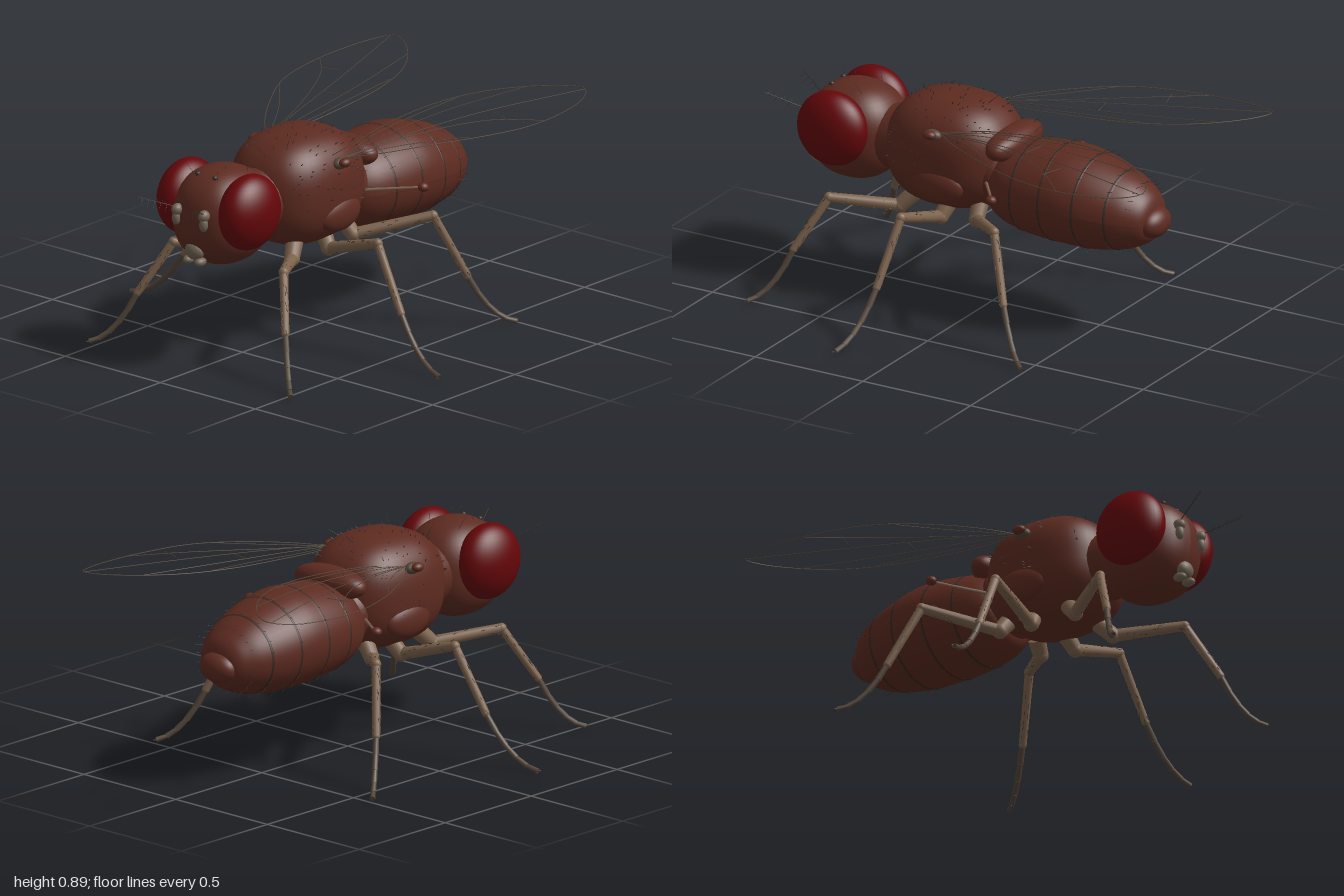
import * as THREE from 'three';
import { mergeGeometries } from 'three/addons/utils/BufferGeometryUtils.js';

const V = (x, y, z) => new THREE.Vector3(x, y, z);
const UP = V(0, 1, 0);

export function createModel() {
  const fly = new THREE.Group();
  fly.name = 'fly';
  const mat = (name, color) => {
    const m = new THREE.MeshStandardMaterial({ color });
    m.name = name;
    return m;
  };
  const body = mat('brown cuticle', 0x5d2b20);
  const bandBrown = mat('band brown', 0x3a2720);
  const eyeRed = mat('eye red', 0x650609);
  const tan = mat('leg tan', 0x7d634d);
  const tarsusBrown = mat('tarsus brown', 0x54463a);
  const dark = mat('bristle dark', 0x342f29);
  const veinBrown = mat('vein brown', 0x55493c);
  const grey = mat('mouthpart grey', 0x706353);

  const add = (name, geo, material, parent = fly) => {
    const m = new THREE.Mesh(geo, material);
    m.name = name;
    parent.add(m);
    return m;
  };

  // Ellipsoid whose sides are squared off when e < 1
  const squash = (v, e) => Math.sign(v) * Math.pow(Math.abs(v), e);
  const blob = (c, r, e = 1, n = 40) => {
    const g = new THREE.SphereGeometry(1, n, Math.round(n * 0.6));
    const p = g.attributes.position;
    for (let i = 0; i < p.count; i++) {
      p.setXYZ(i, c[0] + r[0] * squash(p.getX(i), e), c[1] + r[1] * squash(p.getY(i), e), c[2] + r[2] * squash(p.getZ(i), e));
    }
    if (e === 1) {
      const q = g.attributes.normal;
      for (let i = 0; i < q.count; i++) {
        const v = V(q.getX(i) / r[0], q.getY(i) / r[1], q.getZ(i) / r[2]).normalize();
        q.setXYZ(i, v.x, v.y, v.z);
      }
    } else g.computeVertexNormals();
    return g;
  };

  // Tapered rod between two points
  const rod = (a, b, ra, rb, sides = 14) => {
    const d = b.clone().sub(a);
    const g = new THREE.CylinderGeometry(rb, ra, d.length(), sides);
    g.applyQuaternion(new THREE.Quaternion().setFromUnitVectors(UP, d.normalize()));
    return g.translate((a.x + b.x) / 2, (a.y + b.y) / 2, (a.z + b.z) / 2);
  };
  const hair = (a, dir, len, r = 0.0013) => rod(a, a.clone().addScaledVector(dir, len), r, r * 0.3, 4);

  let seed = 7;
  const rnd = () => (seed = (seed * 16807) % 2147483647) / 2147483647;

  // Head, thorax and scutellum
  add('head', blob([-0.622, 0.62, 0], [0.2, 0.2, 0.183], 0.87), body);
  add('neck', rod(V(-0.48, 0.62, 0), V(-0.38, 0.62, 0), 0.13, 0.14, 24), body);
  add('thorax', blob([-0.169, 0.632, 0], [0.276, 0.233, 0.228], 0.8, 48), body);
  add('scutellum', blob([0.1, 0.712, 0], [0.072, 0.062, 0.18], 0.9), body);
  add('waist', blob([0.06, 0.58, 0], [0.11, 0.14, 0.16]), body);

  // Abdomen turned about the long axis, drooping to the rear
  const curve = new THREE.SplineCurve([
    [0.04, 0.001], [0.045, 0.11], [0.1, 0.16], [0.2, 0.187], [0.36, 0.2], [0.5, 0.19],
    [0.63, 0.157], [0.7, 0.125], [0.75, 0.082], [0.772, 0.001],
  ].map(([x, r]) => new THREE.Vector2(r, x)));
  const abdomenLathe = (pts) => {
    const g = new THREE.LatheGeometry(pts, 48);
    g.rotateZ(-Math.PI / 2);
    g.scale(1, 1, 1.11);
    const p = g.attributes.position;
    for (let i = 0; i < p.count; i++) p.setY(i, p.getY(i) + 0.545 - Math.max(0, p.getX(i) - 0.4) * 0.1);
    g.computeVertexNormals();
    return g;
  };
  const profile = curve.getPoints(60).map((p) => p.set(Math.max(p.x, 0.0005), p.y));
  add('abdomen', abdomenLathe(profile), body);
  add('abdomenTip', blob([0.752, 0.497, 0], [0.056, 0.062, 0.088]), body);
  const radiusAt = (x) => {
    let i = 1;
    while (i < profile.length - 1 && profile[i].y < x) i++;
    const a = profile[i - 1], b = profile[i];
    return a.x + ((b.x - a.x) * (x - a.y)) / (b.y - a.y);
  };
  for (const x of [0.2, 0.34, 0.49, 0.62]) {
    add('abdomenBand', abdomenLathe([-0.005, 0, 0.005].map((d) =>
      new THREE.Vector2(radiusAt(x + d) + (d ? 0 : 0.002), x + d))), bandBrown);
  }

  // Ocelli on the crown
  for (const [x, z] of [[-0.69, 0], [-0.72, 0.045], [-0.72, -0.045]]) {
    add('ocellus', blob([x, 0.8, z], [0.011, 0.01, 0.011], 1, 12), dark);
  }
  // Proboscis
  add('proboscis', blob([-0.79, 0.505, 0], [0.032, 0.038, 0.045], 1, 20), grey);

  // Leg points for one side: root, coxa end, knee, ankle, foot
  const legs = {
    frontLeg: [[-0.3, 0.44, 0.1], [-0.35, 0.385, 0.13], [-0.585, 0.425, 0.29], [-0.69, 0.215, 0.39], [-0.82, 0.014, 0.53]],
    middleLeg: [[-0.13, 0.45, 0.1], [-0.15, 0.385, 0.15], [-0.17, 0.47, 0.425], [-0.195, 0.215, 0.57], [-0.243, 0.014, 0.81]],
    hindLeg: [[0.0, 0.45, 0.1], [0.01, 0.4, 0.14], [0.23, 0.473, 0.37], [0.33, 0.215, 0.465], [0.485, 0.014, 0.59]],
  };

  // Wing height rises gently from the hinge and dips at the leading edge
  const wingPoint = (x, z) => V(x,
    0.765 + 0.092 * (1 - Math.exp(-(x + 0.13) / 0.6)) - 0.2 * Math.max(0, Math.abs(z) - 0.5), z);
  const veins = [
    [[-0.12, 0.2], [-0.02, 0.3], [0.15, 0.42], [0.35, 0.53], [0.55, 0.585], [0.75, 0.592], [0.92, 0.56], [0.995, 0.505],
      [0.97, 0.43], [0.85, 0.3], [0.7, 0.205], [0.5, 0.145], [0.25, 0.13], [0.02, 0.15], [-0.12, 0.2]],
    [[-0.12, 0.2], [0.2, 0.3], [0.48, 0.44], [0.65, 0.59]],
    [[-0.12, 0.2], [0.1, 0.25], [0.5, 0.35], [0.99, 0.51]],
    [[-0.12, 0.2], [0.1, 0.2], [0.45, 0.23], [0.86, 0.31]],
    [[-0.12, 0.2], [0.02, 0.28], [0.15, 0.37], [0.3, 0.5]],
    [[-0.12, 0.2], [0.1, 0.16], [0.35, 0.165], [0.6, 0.175]],
    [[0.53, 0.5], [0.56, 0.41]],
    [[0.34, 0.31], [0.36, 0.215]],
  ];

  for (const s of [1, -1]) {
    const side = new THREE.Group();
    side.name = s > 0 ? 'nearSide' : 'farSide';
    fly.add(side);
    const P = ([x, y, z]) => V(x, y, z * s);

    // Compound eye, side plate and wing hinge
    add('eye', blob([-0.645, 0.665, s * 0.162], [0.155, 0.155, 0.098]), eyeRed, side);
    add('sidePlate', blob([-0.14, 0.54, s * 0.195], [0.12, 0.075, 0.045]), body, side);
    add('wingHinge', blob([-0.15, 0.755, s * 0.212], [0.038, 0.024, 0.026], 1, 20), tarsusBrown, side);
    add('hingeKnob', blob([-0.152, 0.763, s * 0.238], [0.029, 0.019, 0.022], 1, 20), body, side);

    // Antenna with a feathery arista
    add('antenna', blob([-0.815, 0.67, s * 0.07], [0.028, 0.024, 0.022], 1, 16), grey, side);
    add('antennaTip', blob([-0.82, 0.635, s * 0.072], [0.018, 0.03, 0.018], 1, 16), grey, side);
    add('palp', blob([-0.79, 0.463, s * 0.03], [0.03, 0.018, 0.02], 1, 16), grey, side);
    const a0 = P([-0.83, 0.685, 0.08]), a1 = P([-0.975, 0.745, 0.145]);
    const arista = [rod(a0, a1, 0.002, 0.001, 5)];
    for (let i = 1; i < 6; i++) {
      for (const k of [1, -1]) {
        arista.push(hair(a0.clone().lerp(a1, i / 6), V(-0.7, 0.7 * k, s * 0.3 * k).normalize(), 0.035, 0.001));
      }
    }
    add('arista', mergeGeometries(arista), dark, side);

    // Haltere
    add('haltereStalk', rod(P([0.06, 0.575, 0.15]), P([0.2, 0.593, 0.34]), 0.007, 0.005, 8), tan, side);
    add('haltereKnob', blob([0.2, 0.594, s * 0.345], [0.023, 0.019, 0.021], 1, 16), body, side);

    // Wing outline and veins
    const tubes = veins.map((v, i) => new THREE.TubeGeometry(
      new THREE.CatmullRomCurve3(v.map(([x, z]) => wingPoint(x, z * s))), i ? 24 : 80, i ? 0.0016 : 0.002, 5));
    add('wingVeins', mergeGeometries(tubes), veinBrown, side);

    // Legs
    for (const [name, pts] of Object.entries(legs)) {
      const leg = new THREE.Group();
      leg.name = name;
      side.add(leg);
      const [root, hip, knee, ankle, foot] = pts.map(P);
      const ball = (p, r) => blob(p.toArray(), [r, r, r], 1, 14);
      add('coxa', mergeGeometries([rod(root, hip, 0.036, 0.031), ball(hip, 0.032)]), tan, leg);
      add('femur', mergeGeometries([rod(hip, knee, 0.026, 0.02), ball(knee, 0.021)]), tan, leg);
      add('tibia', mergeGeometries([rod(knee, ankle, 0.018, 0.016), ball(ankle, 0.016)]), tan, leg);
      const mid = ankle.clone().lerp(foot, 0.47).setY(0.03);
      const path = new THREE.QuadraticBezierCurve3(ankle, mid, foot);
      const tarsus = [];
      for (let i = 0; i < 5; i++) {
        tarsus.push(rod(path.getPoint(i / 5), path.getPoint((i + 1) / 5), 0.012 - i * 0.0006, 0.0135 - i * 0.0006, 10));
      }
      add('tarsus', mergeGeometries(tarsus), tarsusBrown, leg);
      const out = foot.clone().sub(ankle).setY(0).normalize();
      const hairs = [0.5, -0.5].map((k) =>
        hair(foot, out.clone().applyAxisAngle(UP, k), 0.016, 0.004));
      for (const [a, b, r] of [[hip, knee, 0.022], [knee, ankle, 0.016]]) {
        const d = b.clone().sub(a).normalize();
        for (let i = 1; i < 30; i++) {
          const n = V(rnd() - 0.5, rnd() - 0.5, rnd() - 0.5).cross(d).normalize();
          hairs.push(hair(a.clone().lerp(b, i / 30).addScaledVector(n, r), n.multiplyScalar(0.3).add(d).normalize(), 0.02, 0.0017));
        }
      }
      add('legBristles', mergeGeometries(hairs), dark, leg);
    }
  }

  // Body bristles leaning to the rear
  const bristles = [];
  for (let i = 0; i < 130; i++) {
    const u = rnd() * 1.5 - 0.75, t = (rnd() - 0.5) * 3.6, w = Math.sqrt(1 - u * u);
    const n = V(u, w * Math.cos(t), w * Math.sin(t));
    const p = V(-0.169 + 0.276 * squash(n.x, 0.8), 0.632 + 0.233 * squash(n.y, 0.8), 0.228 * squash(n.z, 0.8));
    const long = i % 13 === 0 && n.y > 0.4;
    bristles.push(hair(p, n.add(V(0.5, 0, 0)).normalize(), long ? 0.07 : 0.014, long ? 0.0014 : 0.0024));
  }
  for (const x of [0.19, 0.33, 0.48, 0.61, 0.69]) {
    for (let i = 0; i < 24; i++) {
      const t = (i / 24) * Math.PI * 2, r = radiusAt(x);
      const p = V(x, 0.545 - Math.max(0, x - 0.4) * 0.1 + r * Math.cos(t), 1.11 * r * Math.sin(t));
      bristles.push(hair(p, V(1, 0.5 * Math.cos(t), 0.5 * Math.sin(t)).normalize(), 0.035, 0.001));
    }
  }
  for (const s of [1, -1]) {
    for (const [x, y, z] of [[-0.72, 0.79, 0.06], [-0.66, 0.8, 0.05], [-0.56, 0.8, 0.08], [0.12, 0.75, 0.1], [0.15, 0.73, 0.05]]) {
      bristles.push(hair(V(x, y, z * s), V(x > 0 ? 0.8 : -0.4, 0.8, 0.3 * s).normalize(), 0.06));
    }
  }
  add('bodyBristles', mergeGeometries(bristles), dark);

  return fly;
}
